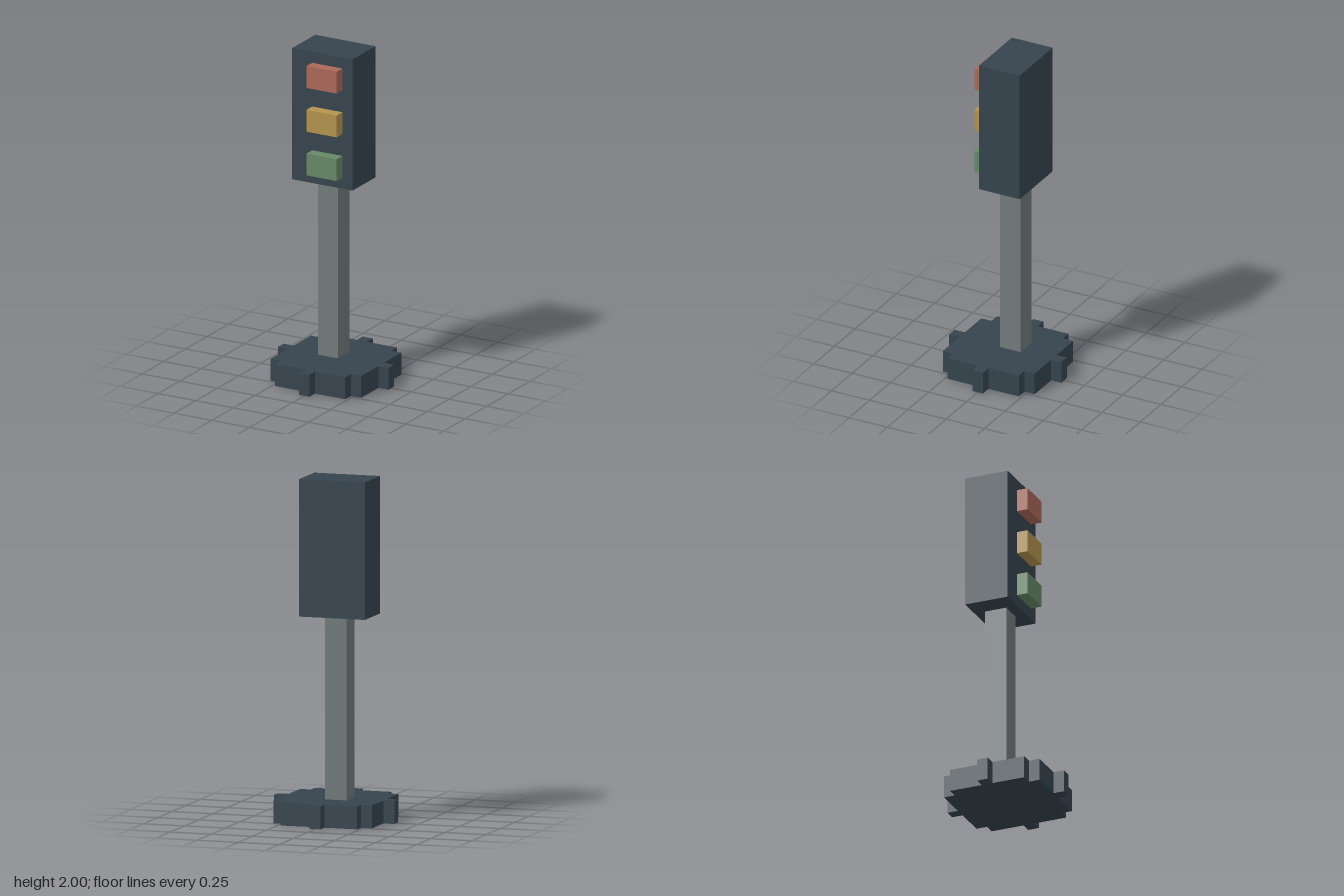
import * as THREE from 'three';

const U = 1 / 15; // one block of the blocky grid

const material = (color) => new THREE.MeshStandardMaterial({ color });

// Box from its two opposite corners, in blocks
function block(name, [x0, y0, z0], [x1, y1, z1], mat) {
  const geometry = new THREE.BoxGeometry((x1 - x0) * U, (y1 - y0) * U, (z1 - z0) * U);
  const mesh = new THREE.Mesh(geometry, mat);
  mesh.position.set(x0 + x1, y0 + y1, z0 + z1).multiplyScalar(U / 2);
  mesh.name = name;
  return mesh;
}

export function createModel() {
  const group = new THREE.Group();
  group.name = 'trafficLight';
  const dark = material(0x36444e);

  // Base: stepped disc with four nubs, one quarter outline turned four times
  const quarter = [[5.5, -0.5], [5.5, 0.5], [4.5, 0.5], [4.5, 3.5], [3.5, 3.5], [3.5, 4.5], [0.5, 4.5]];
  const outline = [];
  for (let i = 0; i < 4; i++) {
    for (const [x, y] of quarter) {
      const [px, py] = [[x, y], [-y, x], [-x, -y], [y, -x]][i];
      outline.push(new THREE.Vector2(px * U, py * U));
    }
  }
  const baseGeometry = new THREE.ExtrudeGeometry(new THREE.Shape(outline), { depth: 2 * U, bevelEnabled: false });
  baseGeometry.rotateX(-Math.PI / 2);
  const base = new THREE.Mesh(baseGeometry, dark);
  base.name = 'base';
  group.add(base);

  // Pole and lamp housing, set slightly off centre
  group.add(block('pole', [-1.5, 2, -1.5], [0.5, 18, 0.5], material(0x717b7b)));
  group.add(block('housing', [-3.5, 18, -2.5], [2.5, 30, 1.5], dark));

  // Three lamps on the front of the housing
  const lamps = [['redLamp', 27, 0xab6959], ['amberLamp', 23, 0xb4944e], ['greenLamp', 19, 0x678967]];
  for (const [name, y, color] of lamps) {
    group.add(block(name, [-1.5, y, 1.5], [1.5, y + 2, 2.5], material(color)));
  }

  return group;
}
